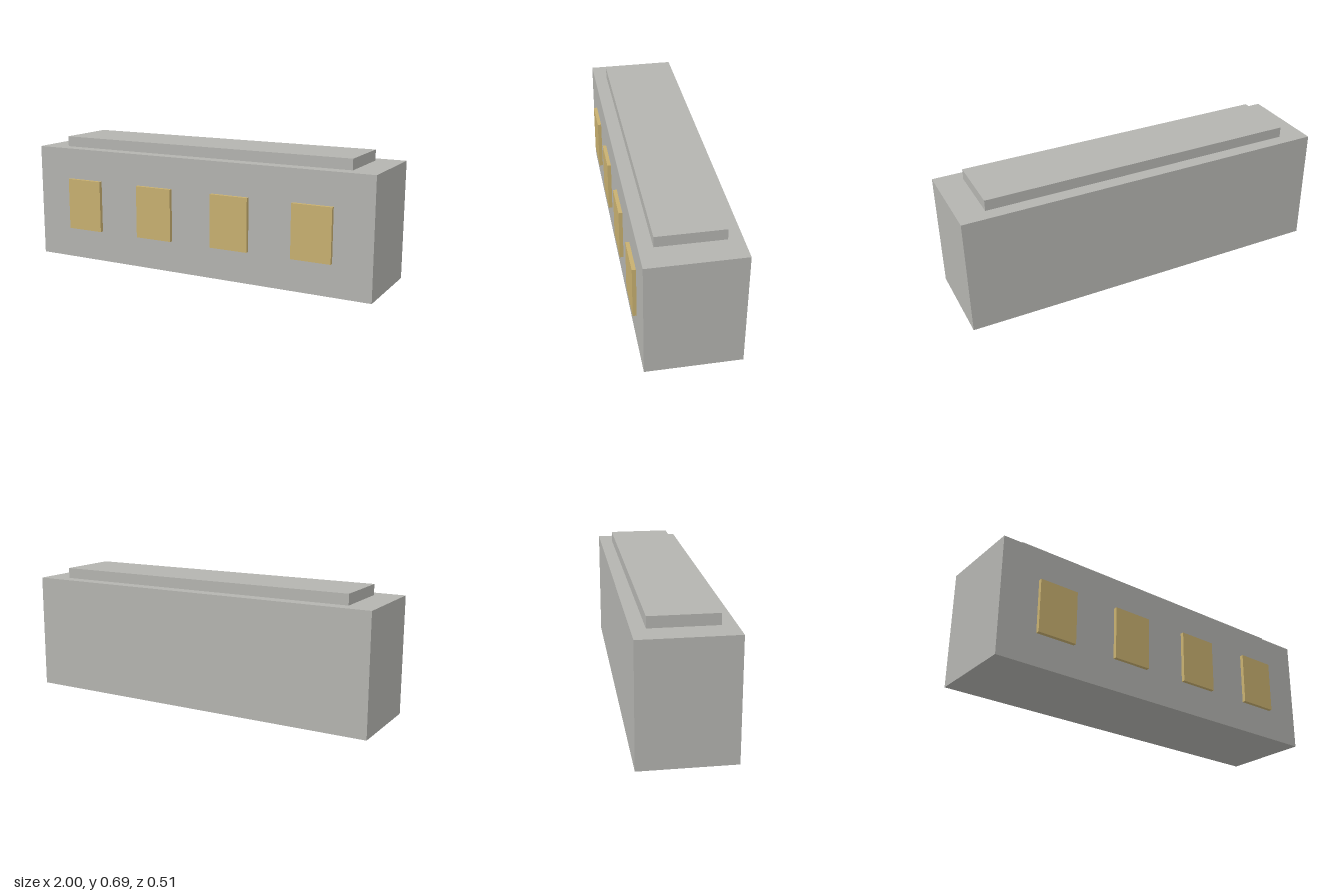
import * as THREE from 'three';

export function createModel() {
  const model = new THREE.Group();
  const stone = new THREE.MeshStandardMaterial({ name: 'stoneGrey', color: 0xb4b4b0 });
  const gold = new THREE.MeshStandardMaterial({ name: 'windowGold', color: 0xc8b070 });

  // Box placed by its centre in x and z and by its base in y
  function addBox(name, material, [w, h, d], [x, base, z]) {
    const mesh = new THREE.Mesh(new THREE.BoxGeometry(w, h, d), material);
    mesh.name = name;
    mesh.position.set(x, base + h / 2, z);
    model.add(mesh);
  }

  const bodyZ = -0.01;
  const bodyHeight = 0.6286;
  const bodyDepth = 0.4857;

  // Main block and the raised roof slab
  addBox('body', stone, [2, bodyHeight, bodyDepth], [0, 0, bodyZ]);
  addBox('roofSlab', stone, [1.7143, 0.0571, 0.3429], [0, bodyHeight, bodyZ]);

  // Four raised windows along the front
  const windowDepth = 0.02;
  const windowZ = bodyZ + bodyDepth / 2 + windowDepth / 2;
  for (let i = 0; i < 4; i++) {
    addBox(`window${i + 1}`, gold, [0.2143, 0.2857, windowDepth], [(i - 1.5) * 0.4571, 0.1714, windowZ]);
  }

  return model;
}
